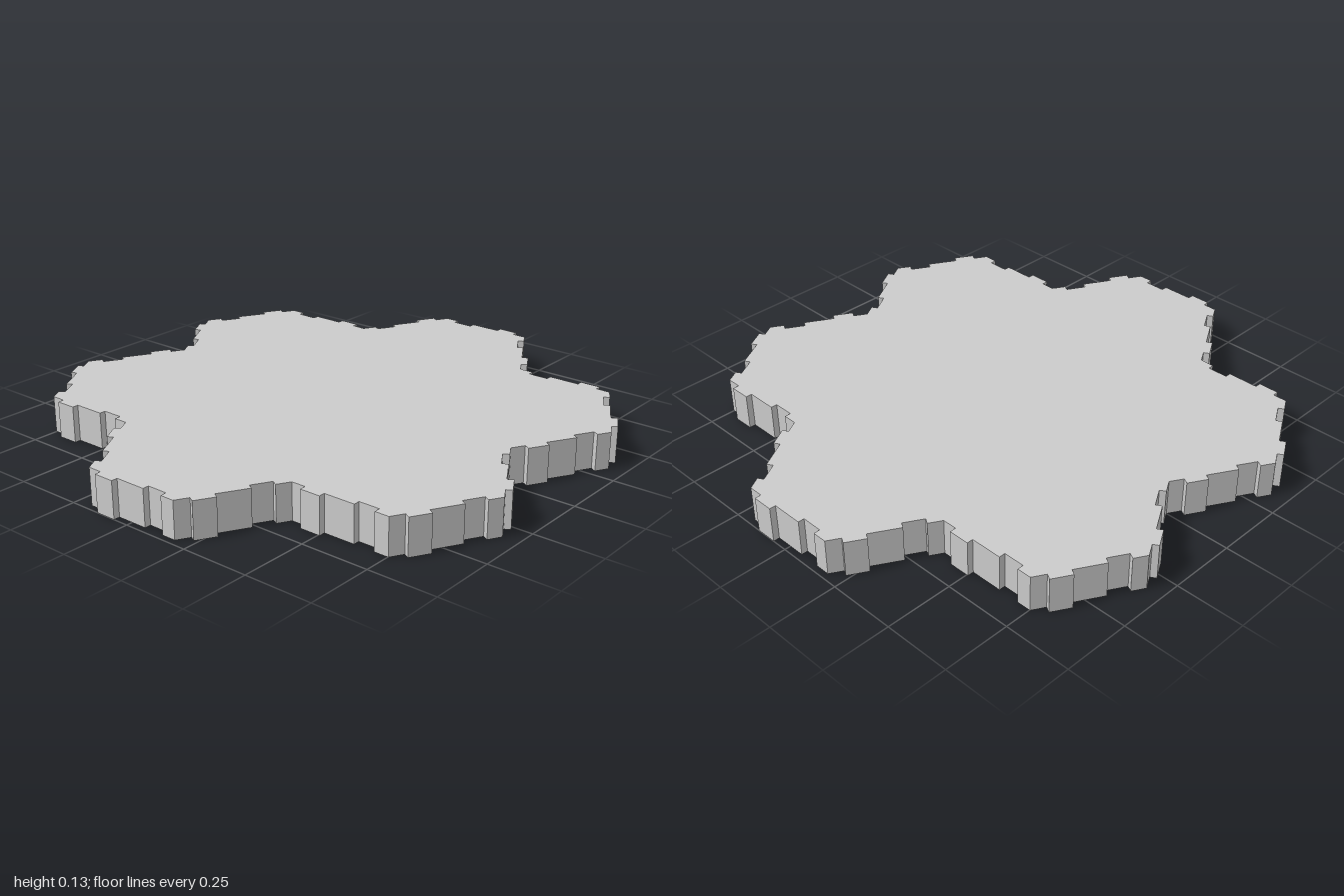
import * as THREE from 'three';

const SIDE = 0.376;                     // hexagon side
const APOTHEM = SIDE * Math.sqrt(3) / 2;
const DEPTH = 1 - 3 * APOTHEM;          // tab and notch depth
const HEIGHT = 0.134;

// Steps along one edge: [distance from its middle, outward offset]
const EDGE_STEPS = [
  [-SIDE / 2, 0],
  [-0.135, 0], [-0.135, -DEPTH], [-0.058, -DEPTH], [-0.058, 0],  // notch
  [0.058, 0], [0.058, DEPTH], [0.135, DEPTH], [0.135, 0],        // tab
];

// Corners around a cluster of seven hexagons, clockwise
function clusterCorners() {
  const sector = [[0, 2 * SIDE], [APOTHEM, 2.5 * SIDE], [2 * APOTHEM, 2 * SIDE]];
  const corners = [];
  for (let k = 0; k < 6; k++) {
    for (const [x, y] of sector) {
      corners.push(new THREE.Vector2(x, y).rotateAround(new THREE.Vector2(), -k * Math.PI / 3));
    }
  }
  return corners;
}

// Interlocking outline: every edge carries a notch followed by a tab
function tileOutline() {
  const corners = clusterCorners();
  const points = [];
  corners.forEach((a, i) => {
    const b = corners[(i + 1) % corners.length];
    const along = b.clone().sub(a).normalize();
    const outward = new THREE.Vector2(-along.y, along.x);
    const middle = a.clone().add(b).multiplyScalar(0.5);
    for (const [t, o] of EDGE_STEPS) {
      points.push(middle.clone().addScaledVector(along, t).addScaledVector(outward, o));
    }
  });
  return new THREE.Shape(points);
}

export function createModel() {
  const group = new THREE.Group();
  group.name = 'hexClusterTile';

  // Flat tile lying on the ground
  const geometry = new THREE.ExtrudeGeometry(tileOutline(), { depth: HEIGHT, bevelEnabled: false });
  geometry.rotateX(-Math.PI / 2);
  const material = new THREE.MeshStandardMaterial({ color: 0xcccccc, flatShading: true });
  const tile = new THREE.Mesh(geometry, material);
  tile.name = 'interlockingTile';
  group.add(tile);
  return group;
}
